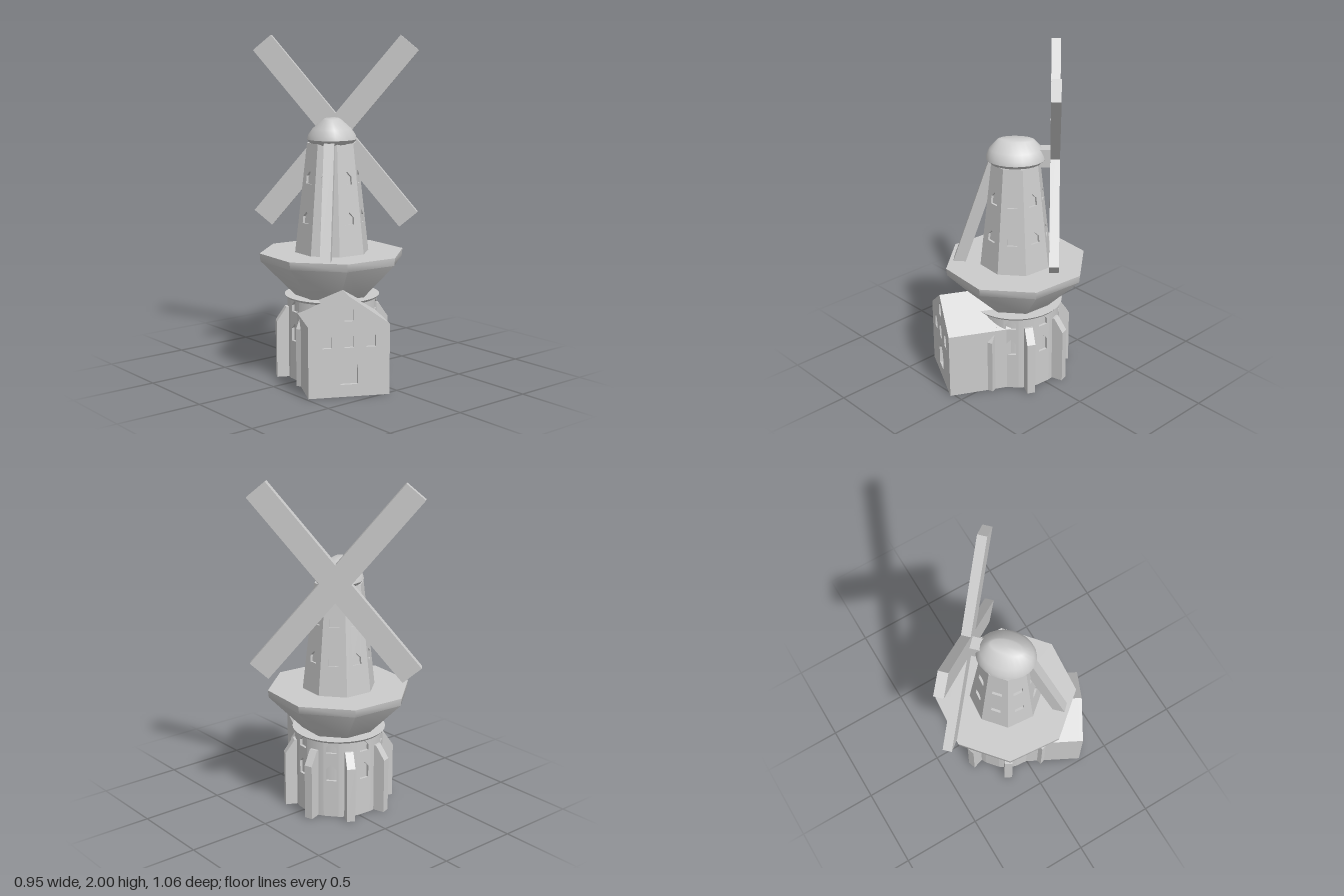
import * as THREE from 'three';
import { toCreasedNormals } from 'three/addons/utils/BufferGeometryUtils.js';

const DEG = Math.PI / 180;
const grey = new THREE.MeshStandardMaterial({ color: 0xcccccc, side: THREE.DoubleSide });
const FIRST_CORNER = -17.5; // heading of the first octagon corner, degrees from +x towards +z

function add(parent, name, geometry) {
  const mesh = new THREE.Mesh(geometry, grey);
  mesh.name = name;
  parent.add(mesh);
  return mesh;
}

// Group whose local +z points along a heading
function facing(parent, name, heading) {
  const group = new THREE.Group();
  group.name = name;
  group.rotation.y = Math.PI / 2 - heading * DEG;
  parent.add(group);
  return group;
}

const points = (list) => list.map(([x, y]) => new THREE.Vector2(x, y));

// Pointed window outline
function windowHole(x, y0, y1, w) {
  const h = w / 2;
  return new THREE.Path(points([[x - h, y0], [x - h, y1 - h], [x, y1], [x + h, y1 - h], [x + h, y0]]));
}

// Flat wall with window openings, its outer face at z = 0
function wall(outline, holes, depth) {
  const shape = new THREE.Shape(points(outline));
  shape.holes.push(...holes);
  return new THREE.ExtrudeGeometry(shape, { depth, bevelEnabled: false }).translate(0, 0, -depth);
}

// Outline in (distance from axis, height), extruded sideways; dir is the sign of local z
function sideProfile(outline, width, dir) {
  return new THREE.ExtrudeGeometry(new THREE.Shape(points(outline)), { depth: width, bevelEnabled: false })
    .translate(0, 0, -width / 2)
    .rotateY(-dir * Math.PI / 2);
}

function octagonLathe(profile) {
  return toCreasedNormals(new THREE.LatheGeometry(points(profile), 8, -FIRST_CORNER * DEG), 40 * DEG);
}

function buildBase(mill) {
  const r = 0.265, half = 0.045, top = 0.485;
  const apothem = Math.sqrt(r * r - half * half);
  const gap = 45 * DEG - 2 * Math.asin(half / r);
  add(mill, 'baseCore', new THREE.CylinderGeometry(0.246, 0.246, top, 48).translate(0, top / 2, 0));
  add(mill, 'baseCollar', new THREE.CylinderGeometry(0.28, 0.268, 0.014, 48).translate(0, 0.48, 0));
  for (let i = 0; i < 8; i++) {
    // Window bay between two buttresses
    const bay = facing(mill, 'baseBay', FIRST_CORNER + 22.5 + i * 45);
    add(bay, 'baseWall', wall(
      [[-half, 0], [half, 0], [half, top], [-half, top]],
      [windowHole(0, 0.23, 0.335, 0.062), windowHole(0, 0.405, 0.472, 0.062)], 0.02,
    )).position.z = apothem;
    // Curved wall and buttress at each corner
    const corner = facing(mill, 'baseCorner', FIRST_CORNER + i * 45);
    add(corner, 'curvedWall', new THREE.CylinderGeometry(r, r, top, 5, 1, true, -gap / 2, gap).translate(0, top / 2, 0));
    add(corner, 'buttress', sideProfile(
      [[0.24, 0], [0.335, 0], [0.335, 0.335], [0.278, 0.42], [0.24, 0.42]], 0.05, 1));
  }
}

function buildDeck(mill) {
  add(mill, 'deck', octagonLathe([
    [0, 0.485], [0.22, 0.485], [0.425, 0.695], [0.43, 0.74], [0, 0.74],
  ]));
}

function buildTower(mill) {
  const y0 = 0.74, y1 = 1.38, r0 = 0.22, r1 = 0.147;
  const c = Math.cos(22.5 * DEG), s = Math.sin(22.5 * DEG);
  const tilt = Math.atan2((r0 - r1) * c, y1 - y0);
  const length = Math.hypot((r0 - r1) * c, y1 - y0);
  add(mill, 'towerCore', octagonLathe([[0, y0], [r0 - 0.016, y0], [r1 - 0.016, y1], [0, y1]]));
  for (let i = 0; i < 8; i++) {
    const side = facing(mill, 'towerSide', FIRST_CORNER + 22.5 + i * 45);
    const panel = add(side, 'towerWall', wall(
      [[-r0 * s, 0], [r0 * s, 0], [r1 * s, length], [-r1 * s, length]],
      [windowHole(0, 0.18, 0.25, 0.06), windowHole(0, 0.41, 0.485, 0.06)], 0.02,
    ));
    panel.position.set(0, y0, r0 * c);
    panel.rotation.x = -tilt;
  }
}

function buildCapAndSails(mill) {
  const head = facing(mill, 'millHead', -45);

  // Cap: a turned dome squeezed towards a ridge along the sail axis
  const dome = new THREE.LatheGeometry(points([
    [0, 1.37], [0.142, 1.37], [0.173, 1.4], [0.168, 1.425], [0.153, 1.46], [0.107, 1.513], [0.09, 1.52], [0, 1.52],
  ]), 24);
  const p = dome.attributes.position;
  for (let i = 0; i < p.count; i++) {
    const t = THREE.MathUtils.clamp((p.getY(i) - 1.4) / 0.12, 0, 1);
    p.setX(i, p.getX(i) * THREE.MathUtils.lerp(0.84, 0.45, t * t));
  }
  add(head, 'cap', toCreasedNormals(dome, 50 * DEG));

  // Sail shaft and two crossed arms
  add(head, 'sailShaft', new THREE.BoxGeometry(0.073, 0.11, 0.14).translate(0, 1.41, 0.14));
  for (const sign of [-1, 1]) {
    const arm = add(head, 'sailArm', new THREE.BoxGeometry(0.14, 1.372, 0.055));
    arm.position.set(0, 1.428, 0.227);
    arm.rotation.z = sign * 39.9 * DEG;
  }

  // Tail beam from the cap down to the deck
  add(head, 'tailBeam', sideProfile([[0.3, 0.74], [0.375, 0.74], [0.155, 1.39], [0.08, 1.39]], 0.06, -1));
}

function buildHouse(mill) {
  const house = facing(mill, 'house', FIRST_CORNER + 135);
  const h = 0.2315, front = 0.476;
  const gable = [[-h, 0], [h, 0], [h, 0.405], [0, 0.57], [-h, 0.405]];
  add(house, 'houseBody', wall(gable, [], 0.36)).position.z = front - 0.02;
  const holes = [-0.125, 0, 0.125].map((x) => windowHole(x, 0.28, 0.37, 0.055));
  holes.push(windowHole(0, 0.43, 0.52, 0.055), windowHole(0, 0.07, 0.23, 0.1));
  add(house, 'houseFacade', wall(gable, holes, 0.02)).position.z = front;
}

export function createModel() {
  const model = new THREE.Group();
  model.name = 'windmill';
  const mill = new THREE.Group();
  mill.name = 'mill';
  mill.position.set(-0.061, 0, -0.007);
  model.add(mill);
  buildBase(mill);
  buildDeck(mill);
  buildTower(mill);
  buildCapAndSails(mill);
  buildHouse(mill);
  return model;
}
